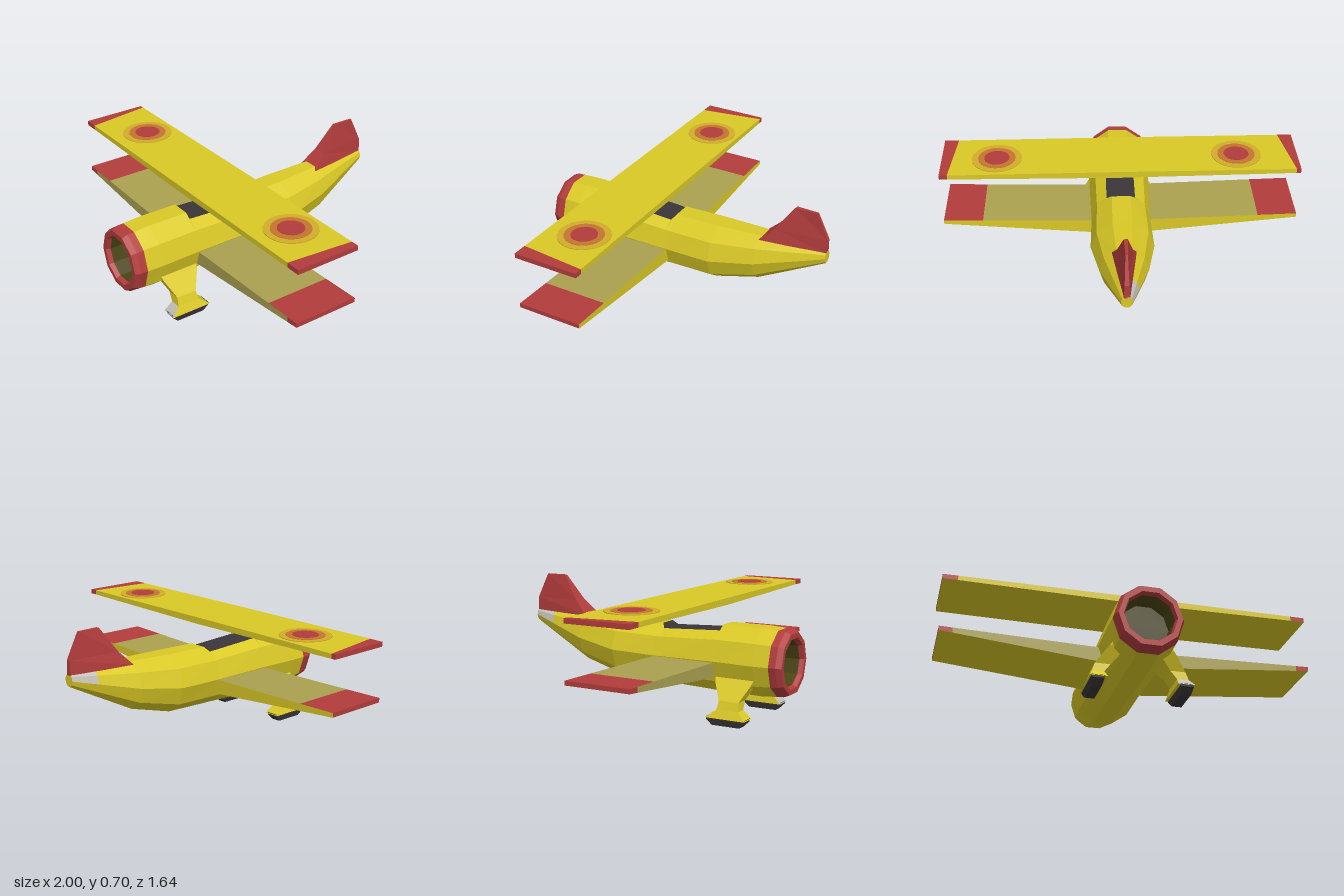
import * as THREE from 'three';

const paint = (name, color) => Object.assign(new THREE.MeshStandardMaterial({ color }), { name });
const yellow = paint('yellow', 0xdac926);
const red = paint('red', 0xb23c3c);
const khaki = paint('khaki', 0xaba150);
const dark = paint('dark grey', 0x3a3538);
const grey = paint('light grey', 0xc4c0b8);
const olive = paint('dark olive', 0x4a4314);
const orange = paint('orange', 0xc6742f);
const gold = paint('gold', 0xd0ad2a);
const materials = [yellow, red, khaki, dark, grey, olive, orange, gold];

// Faceted skin through loops of [x, y, z]; each loop runs counterclockwise
// seen from the start. pick(segment, side) gives the colour of a face.
function loft(name, loops, pick, startCap, endCap) {
  const buckets = new Map(materials.map((m) => [m, []]));
  const tri = (m, ...pts) => pts.forEach((p) => buckets.get(m).push(...p));
  const n = loops[0].length;
  for (let i = 0; i < loops.length - 1; i++) {
    for (let j = 0; j < n; j++) {
      const k = (j + 1) % n, m = pick(i, j);
      const [a, b, c, d] = [loops[i][j], loops[i][k], loops[i + 1][k], loops[i + 1][j]];
      tri(m, a, d, c);
      tri(m, a, c, b);
    }
  }
  const first = loops[0], last = loops[loops.length - 1];
  for (let j = 1; j < n - 1; j++) {
    if (startCap) tri(startCap, first[0], first[j], first[j + 1]);
    if (endCap) tri(endCap, last[0], last[j + 1], last[j]);
  }
  const geometry = new THREE.BufferGeometry();
  const positions = [], used = [];
  for (const [m, list] of buckets) {
    if (!list.length) continue;
    geometry.addGroup(positions.length / 3, list.length / 3, used.length);
    used.push(m);
    for (const v of list) positions.push(v);
  }
  geometry.setAttribute('position', new THREE.Float32BufferAttribute(positions, 3));
  geometry.computeVertexNormals();
  const mesh = new THREE.Mesh(geometry, used);
  mesh.name = name;
  return mesh;
}

// Ten-sided body section with a flat top; seat = height of a sunken top
function ring(z, top, bottom, half, seat) {
  const mid = (top + bottom) / 2, ry = (top - bottom) / 2 / Math.sin(Math.PI * 0.4);
  return Array.from({ length: 10 }, (_, k) => {
    const a = k * Math.PI / 5;
    if (seat && (k === 2 || k === 3)) return [k === 2 ? 0.08 : -0.08, seat, z];
    return [half * Math.cos(a), mid + ry * Math.sin(a), z];
  });
}

// Flat rectangle: front edge zf, back edge zb, with half-width or side limits
const slab = (y, xf0, xf1, xb0, xb1, zf, zb) =>
  [[xf0, y, zf], [xf1, y, zf], [xb1, y, zb], [xb0, y, zb]];

// Wing section; front and back edges may sit at different x
const rib = (xf, xb, bottom, top) =>
  [[xf, bottom, 0.43], [xb, bottom, 0.065], [xb, top, 0.065], [xf, top, 0.43]];

export function createModel() {
  const model = new THREE.Group();
  model.name = 'biplane';

  // Fuselage with red nose and sunken cockpit
  const body = [
    ring(0.82, 0.478, 0.157, 0.165),
    ring(0.79, 0.492, 0.145, 0.178),
    ring(0.75, 0.494, 0.142, 0.178),
    ring(0.66, 0.5, 0.135, 0.18),
    ring(0.43, 0.5, 0.138, 0.175),
    ring(0.425, 0.5, 0.138, 0.175, 0.472),
    ring(0.08, 0.48, 0.15, 0.167, 0.455),
    ring(0.06, 0.48, 0.15, 0.167),
    ring(-0.2, 0.486, 0.16, 0.175),
    ring(-0.45, 0.495, 0.228, 0.132),
    ring(-0.68, 0.492, 0.347, 0.069),
    ring(-0.82, 0.49, 0.42, 0.03),
  ];
  model.add(loft('fuselage', body, (i, j) => {
    if (i < 2) return red;
    if (j === 2 && i >= 4 && i <= 6) return dark;
    if (i === 10 && (j === 3 || j === 4)) return grey;
    return yellow;
  }, null, yellow));

  // Hollow nose: lip, inner wall and floor
  const cowl = [
    ring(0.68, 0.44, 0.195, 0.13),
    ring(0.795, 0.44, 0.195, 0.13),
    ring(0.82, 0.45, 0.185, 0.138),
    ring(0.82, 0.478, 0.157, 0.165),
  ];
  model.add(loft('cowlOpening', cowl, (i) => (i === 0 ? olive : red), olive, null));

  // Upper wing with slanted red tips
  model.add(loft('upperWing', [
    rib(1, 1, 0.61, 0.636), rib(0.92, 0.955, 0.61, 0.636), rib(0, 0, 0.6, 0.638),
    rib(-0.92, -0.975, 0.61, 0.636), rib(-1, -1, 0.61, 0.636),
  ], (i, j) => ((i === 0 || i === 3) && j > 0 ? red : yellow), red, red));

  // Lower wing, thicker toward the root
  const lowerRib = (x) => {
    const t = Math.abs(x);
    return rib(x, x, 0.215 + 0.095 * t, 0.308 + 0.026 * t);
  };
  model.add(loft('lowerWing', [1, 0.93, 0.78, 0, -0.78, -0.93, -1].map(lowerRib), (i, j) => {
    const outward = Math.min(i, 5 - i);
    if (j === 2) return outward < 2 ? red : khaki;
    if (j === 3) return outward < 1 ? red : khaki;
    return yellow;
  }, red, red));

  // Roundels as thin stacked discs
  for (const x of [-0.655, 0.69]) {
    const roundel = new THREE.Group();
    roundel.name = 'roundel';
    [[0.14, gold], [0.105, orange], [0.07, red]].forEach(([r, m], i) => {
      const disc = new THREE.Mesh(new THREE.CylinderGeometry(r, r, 0.004, 24), m);
      disc.name = 'roundelDisc';
      disc.position.set(x, 0.638 + i * 0.002, 0.228);
      roundel.add(disc);
    });
    model.add(roundel);
  }

  // Tail fin with a broad leading face
  const finLevel = (y, zf, zb, wf, wb) => slab(y, -wf, wf, -wb, wb, zf, zb);
  model.add(loft('tailFin', [
    finLevel(0.7, -0.63, -0.755, 0.01, 0.006),
    finLevel(0.56, -0.53, -0.82, 0.04, 0.012),
    finLevel(0.48, -0.45, -0.82, 0.065, 0.016),
  ], () => red, red, red));

  // Landing legs with fairings, and wheels
  for (const side of [1, -1]) {
    const level = ([y, xin, xout, zf, zb]) => {
      const [x0, x1] = side > 0 ? [xin, xout] : [-xout, -xin];
      return slab(y, x0, x1, x0, x1, zf, zb);
    };
    model.add(loft(side > 0 ? 'leftLeg' : 'rightLeg', [
      [0.235, 0.07, 0.155, 0.66, 0.44],
      [0.215, 0.08, 0.17, 0.655, 0.445],
      [0.13, 0.155, 0.235, 0.615, 0.5],
      [0.085, 0.188, 0.25, 0.62, 0.495],
      [0.04, 0.18, 0.27, 0.665, 0.435],
    ].map(level), (i, j) => (side > 0 && i === 3 && j === 0 ? grey : yellow), yellow, yellow));
    model.add(loft(side > 0 ? 'leftWheel' : 'rightWheel', [
      [0.045, 0.195, 0.262, 0.662, 0.438],
      [0.03, 0.195, 0.262, 0.66, 0.44],
      [0, 0.203, 0.255, 0.63, 0.47],
    ].map(level), () => dark, dark, dark));
  }

  return model;
}
